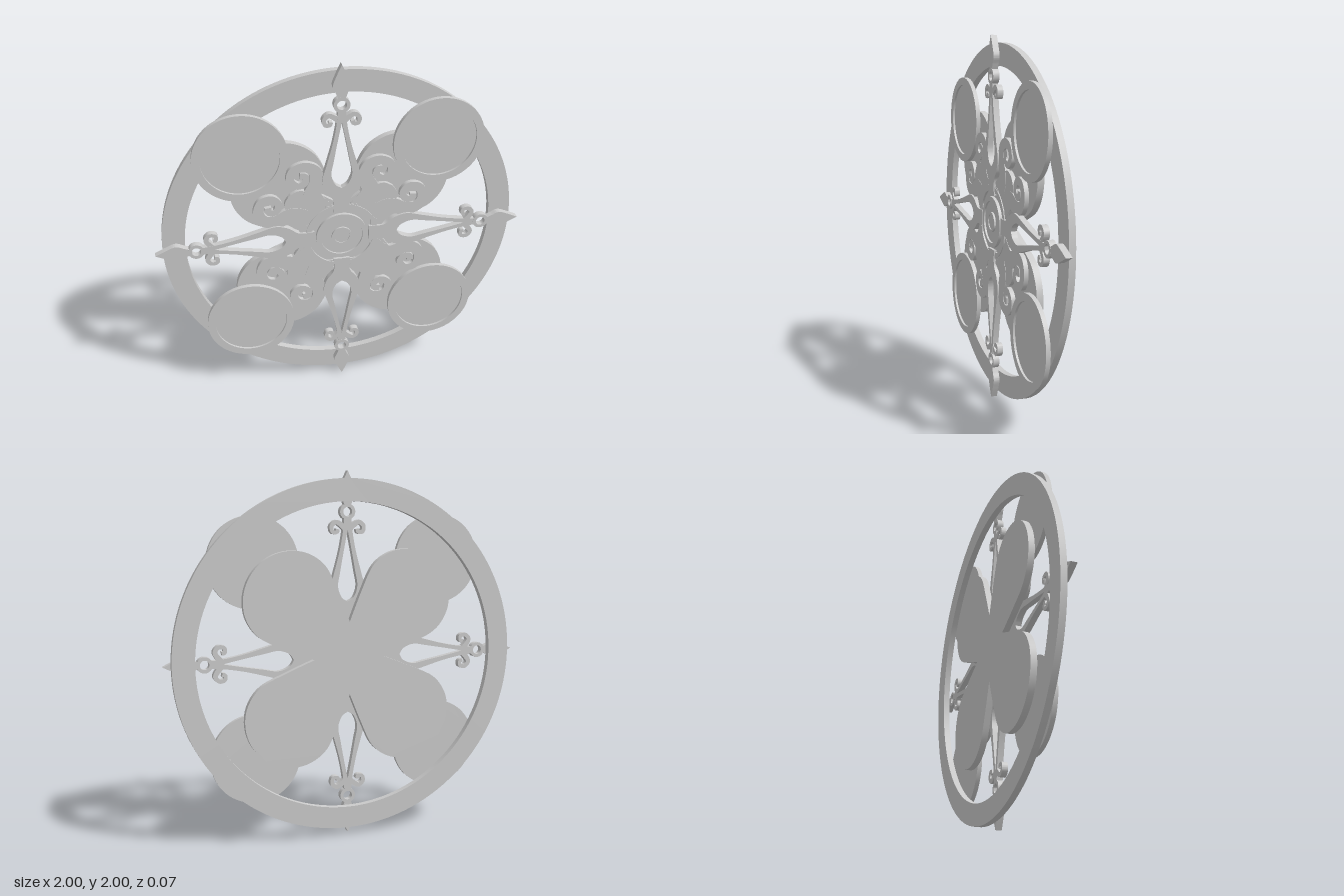
import * as THREE from 'three';
import { toCreasedNormals } from 'three/addons/utils/BufferGeometryUtils.js';

const grey = new THREE.MeshStandardMaterial({ color: 0xcccccc });
const vec = ([x, y]) => new THREE.Vector2(x, y);
const flip = pts => pts.map(([x, y]) => [-x, y]);

// Flat plate cut from a shape, between two depths
function plate(name, shape, z0, z1, segments = 12) {
  const geo = new THREE.ExtrudeGeometry(shape, { depth: z1 - z0, bevelEnabled: false, curveSegments: segments });
  geo.translate(0, 0, z0);
  const mesh = new THREE.Mesh(toCreasedNormals(geo, 0.6), grey);
  mesh.name = name;
  return mesh;
}

function disc(r, hole = 0) {
  const s = new THREE.Shape().absarc(0, 0, r, 0, Math.PI * 2, false);
  if (hole) s.holes.push(new THREE.Path().absarc(0, 0, hole, 0, Math.PI * 2, true));
  return s;
}

// Ribbon along a smooth path, tapering from width w0 to w1
function ribbon(pts, w0, w1, steps = 50) {
  const curve = new THREE.SplineCurve(pts.map(vec));
  const left = [], right = [];
  for (let i = 0; i <= steps; i++) {
    const t = i / steps, p = curve.getPointAt(t), d = curve.getTangentAt(t);
    const w = (w1 + (w0 - w1) * (1 - t) ** 2) / 2;
    left.push(new THREE.Vector2(p.x - d.y * w, p.y + d.x * w));
    right.push(new THREE.Vector2(p.x + d.y * w, p.y - d.x * w));
  }
  return new THREE.Shape(left.concat(right.reverse()));
}

// Outline mirrored about the y axis from its right half, bottom to top
function symmetric(pts, Type = THREE.Shape) {
  const half = new THREE.SplineCurve(pts.map(vec)).getPoints(40);
  const other = half.slice().reverse().map(p => new THREE.Vector2(-p.x, p.y));
  return new Type(half.concat(other));
}

// Spear-tipped arm pointing up from the hub
function makeArm() {
  const arm = new THREE.Group();
  arm.name = 'spearArm';
  const shaft = symmetric([[0.045, 0.15], [0.045, 0.23], [0.085, 0.29], [0.103, 0.36], [0.08, 0.45],
    [0.05, 0.56], [0.03, 0.66], [0.02, 0.75]]);
  shaft.holes.push(symmetric([[0, 0.305], [0.035, 0.33], [0.055, 0.39], [0.042, 0.47], [0.022, 0.58], [0, 0.69]], THREE.Path));
  arm.add(plate('armShaft', shaft, 0, 0.033));
  const eyelet = plate('armEyelet', disc(0.043, 0.025), 0, 0.035);
  eyelet.position.y = 0.785;
  arm.add(eyelet);
  arm.add(plate('spearTip', symmetric([[0.018, 0.82], [0.03, 0.85], [0.045, 0.89], [0.028, 0.94], [0, 1]]), 0, 0.034));
  const hook = [[0.0, 0.685], [0.035, 0.715], [0.065, 0.73], [0.09, 0.71], [0.085, 0.68], [0.06, 0.678], [0.056, 0.694]];
  for (const pts of [hook, flip(hook)]) arm.add(plate('armHook', ribbon(pts, 0.035, 0.02), 0, 0.032));
  // Wide clasp where the arm meets the hub
  arm.add(plate('armClasp', new THREE.Shape([[-0.1, 0.16], [0.1, 0.16], [0.085, 0.195], [-0.085, 0.195]].map(vec)), 0, 0.026));
  return arm;
}

// Pair of scrolls either side of a diagonal (built pointing up)
function makeScrolls() {
  const g = new THREE.Group();
  g.name = 'scrollPair';
  // Scroll drawn beside an upright arm, then turned so the diagonal is up
  const scroll = [[0.1, 0.16], [0.155, 0.26], [0.13, 0.35], [0.14, 0.415], [0.195, 0.445], [0.255, 0.425],
    [0.27, 0.37], [0.23, 0.335], [0.19, 0.355], [0.192, 0.39], [0.22, 0.393]];
  const c = Math.SQRT1_2;
  const turned = scroll.map(([x, y]) => [(x - y) * c, (x + y) * c]);
  for (const pts of [turned, flip(turned)]) g.add(plate('scroll', ribbon(pts, 0.13, 0.036, 80), 0, 0.024));
  g.add(plate('scrollLeaf', symmetric([[0.13, 0.18], [0.11, 0.27], [0.08, 0.34], [0.05, 0.38], [0, 0.395]]), 0, 0.022));
  return g;
}

// Dish with a raised rim
function makeDish() {
  const g = new THREE.Group();
  g.name = 'dish';
  g.add(plate('dishRim', disc(0.245, 0.203), 0, 0.024, 48), plate('dishFace', disc(0.21), 0, 0.012, 48));
  return g;
}

// Four rounded lobes as one back plate
function lobes() {
  const half = [[0, 0.2], [0.065, 0.36], [0.13, 0.495], [0.22, 0.565], [0.32, 0.585], [0.42, 0.565], [0.507, 0.507]];
  const lobe = new THREE.SplineCurve(half.concat(half.slice(0, -1).reverse().map(([x, y]) => [y, x])).map(vec)).getPoints(60);
  const pts = [];
  for (let i = 0; i < 4; i++) {
    const a = -i * Math.PI / 2;
    for (const p of lobe.slice(0, -1)) pts.push(p.clone().rotateAround(new THREE.Vector2(), a));
  }
  return new THREE.Shape(pts.reverse());
}

export function createModel() {
  const model = new THREE.Group();
  model.name = 'ornamentalWheel';
  model.position.y = 1;

  model.add(plate('outerRing', disc(0.96, 0.84), -0.035, 0, 96));
  model.add(plate('lobedBackPlate', lobes(), -0.035, 0));

  // Four arms, and four diagonals with scrolls and a dish
  for (let i = 0; i < 4; i++) {
    const arm = makeArm();
    arm.rotation.z = i * Math.PI / 2;
    const scrolls = makeScrolls();
    scrolls.rotation.z = Math.PI / 4 + i * Math.PI / 2;
    const dish = makeDish();
    dish.position.set(i % 2 ? 0.52 : -0.52, i < 2 ? 0.525 : -0.525, 0);
    model.add(arm, scrolls, dish);
  }

  // Stepped round hub
  model.add(plate('hubBase', disc(0.23), 0, 0.018, 48));
  model.add(plate('hubOuterRing', disc(0.2, 0.178), 0, 0.029, 48));
  model.add(plate('hubDisc', disc(0.14), 0, 0.025, 40));
  model.add(plate('hubInnerRing', disc(0.14, 0.115), 0, 0.035, 40));
  model.add(plate('hubButtonRim', disc(0.055, 0.042), 0, 0.035, 24));
  model.add(plate('hubButton', disc(0.045), 0, 0.03, 24));

  const root = new THREE.Group();
  root.name = 'model';
  root.add(model);
  return root;
}
